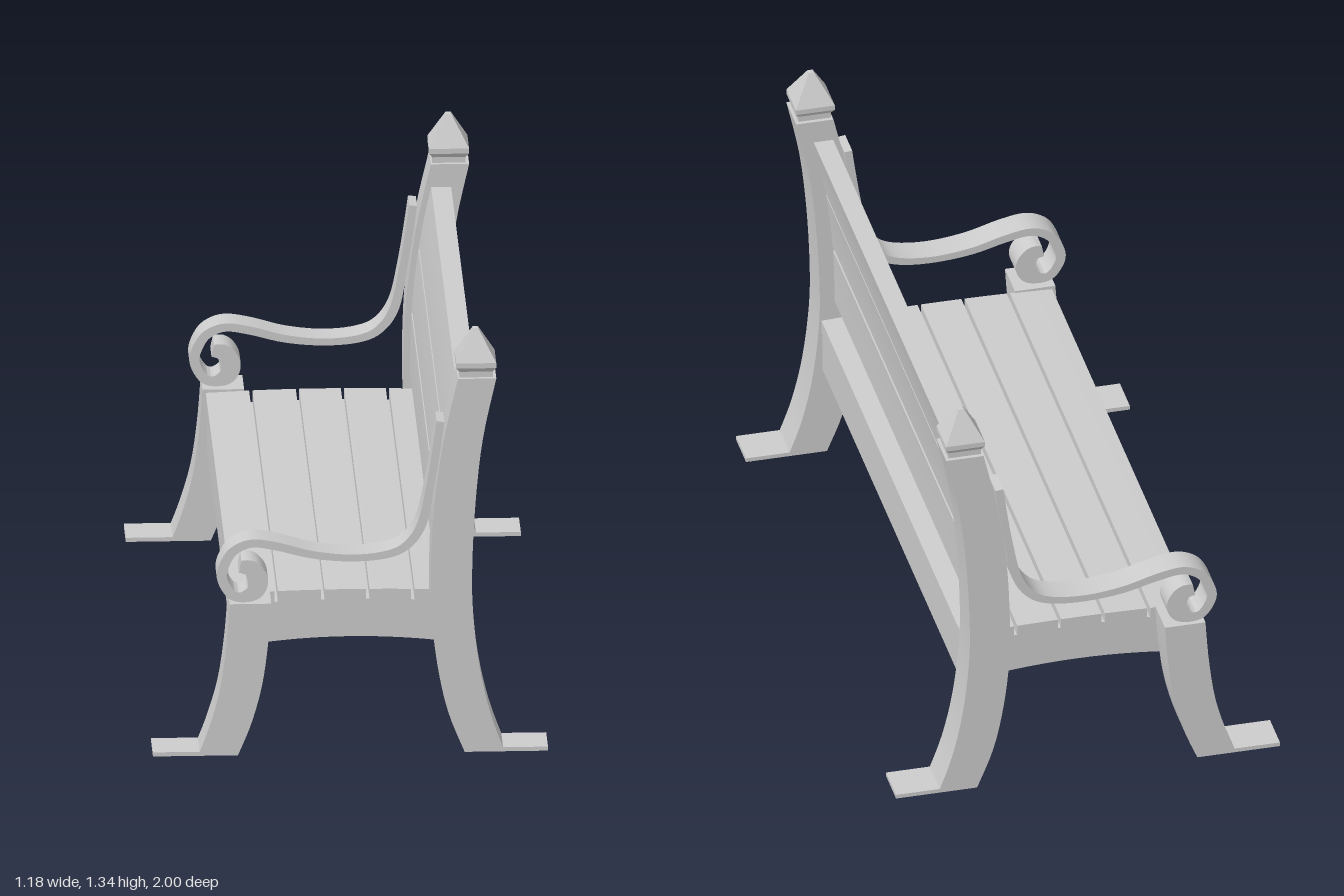
import * as THREE from 'three';
import { toCreasedNormals } from 'three/addons/utils/BufferGeometryUtils.js';

const material = new THREE.MeshStandardMaterial({ color: 0xcccccc });

function addMesh(parent, name, geometry, mat = material) {
  const mesh = new THREE.Mesh(geometry, mat);
  mesh.name = name;
  parent.add(mesh);
  return mesh;
}

const smooth = (pts, n) =>
  new THREE.SplineCurve(pts.map(([x, y]) => new THREE.Vector2(x, y))).getPoints(n);

// Extrude a closed side outline from z0 to z1
function extrude(points, z0, z1) {
  const g = new THREE.ExtrudeGeometry(new THREE.Shape(points), { depth: z1 - z0, bevelEnabled: false });
  g.translate(0, 0, z0);
  return toCreasedNormals(g, 0.6);
}

// Outline between two edges running the same way
const between = (a, b) => [...a, ...b.slice().reverse()];

// Curved strip given by centre points [x, y, halfWidth]
function ribbon(rows, n) {
  const centre = new THREE.SplineCurve(rows.map(([x, y]) => new THREE.Vector2(x, y)));
  const widths = new THREE.SplineCurve(rows.map((r, i) => new THREE.Vector2(i, r[2])));
  const a = [], b = [];
  for (let i = 0; i <= n; i++) {
    const t = i / n, p = centre.getPoint(t), d = centre.getTangent(t), w = widths.getPoint(t).y;
    a.push(new THREE.Vector2(p.x - d.y * w, p.y + d.x * w));
    b.push(new THREE.Vector2(p.x + d.y * w, p.y - d.x * w));
  }
  return between(a, b);
}

// Edges of the rear post and front leg, bottom to top
const postFront = smooth([[0.34, 0], [0.29, 0.13], [0.258, 0.28], [0.24, 0.45], [0.24, 0.63], [0.25, 0.8], [0.278, 1.0], [0.32, 1.19]], 28);
const postBack = smooth([[0.46, 0], [0.418, 0.12], [0.385, 0.27], [0.365, 0.45], [0.363, 0.6], [0.373, 0.8], [0.395, 1.0], [0.435, 1.19]], 28);
const legFront = smooth([[-0.46, 0], [-0.43, 0.08], [-0.396, 0.2], [-0.376, 0.34], [-0.365, 0.482]], 14);
const legBack = smooth([[-0.34, 0], [-0.3, 0.1], [-0.268, 0.22], [-0.25, 0.35], [-0.24, 0.482]], 14);

// Arm rest: from the tip of the scroll, over the arm, up the post
const armRows = [
  [-0.333, 0.596, 0.019], [-0.3, 0.589, 0.026], [-0.279, 0.552, 0.03], [-0.291, 0.515, 0.026],
  [-0.33, 0.499, 0.016], [-0.363, 0.512, 0.015], [-0.388, 0.562, 0.015], [-0.377, 0.61, 0.015],
  [-0.349, 0.649, 0.014], [-0.295, 0.67, 0.013], [-0.217, 0.658, 0.013], [-0.115, 0.631, 0.012],
  [0, 0.619, 0.011], [0.104, 0.628, 0.012], [0.168, 0.658, 0.013], [0.213, 0.727, 0.014],
  [0.238, 0.85, 0.012], [0.256, 0.963, 0.012], [0.268, 1.05, 0.012],
];

// Front edge of the post at height y
function postX(y) {
  const i = postFront.findIndex((p) => p.y >= y);
  const a = postFront[i - 1], b = postFront[i];
  return a.x + ((b.x - a.x) * (y - a.y)) / (b.y - a.y);
}

function createFinial() {
  const profile = [[0, 1.185], [0.05, 1.185], [0.05, 1.208], [0.06, 1.222], [0.06, 1.238], [0.008, 1.332], [0, 1.335]];
  const g = new THREE.LatheGeometry(
    profile.map(([half, y]) => new THREE.Vector2(half * Math.SQRT2, y)), 4, Math.PI / 4);
  const mat = material.clone();
  mat.flatShading = true;
  return [g, mat];
}

// One end frame; side is +1 or -1 along z
function createEnd(side) {
  const end = new THREE.Group();
  end.name = side > 0 ? 'leftEnd' : 'rightEnd';
  const across = (pts, a, b) => extrude(pts, Math.min(a * side, b * side), Math.max(a * side, b * side));

  addMesh(end, 'rearPost', across(between(postFront, postBack), 0.875, 1));
  addMesh(end, 'frontLeg', across(between(legFront, legBack), 0.875, 1));
  addMesh(end, 'armRest', across(ribbon(armRows, 90), 0.9, 0.987));

  // Flat feet
  for (const [name, x0, x1] of [['frontFoot', -0.595, -0.36], ['rearFoot', 0.36, 0.59]]) {
    const foot = addMesh(end, name, new THREE.BoxGeometry(x1 - x0, 0.013, 0.125));
    foot.position.set((x0 + x1) / 2, 0.0065, side * 0.9375);
  }

  const finial = addMesh(end, 'finial', ...createFinial());
  finial.position.set(0.375, 0, side * 0.9375);
  return end;
}

export function createModel() {
  const bench = new THREE.Group();
  bench.name = 'bench';
  bench.add(createEnd(1), createEnd(-1));

  // Seat base with arched top and underside
  const arch = (x, mid, drop) => mid - drop * (x / 0.3) ** 2;
  const edge = (x0, x1, mid, drop, n) => Array.from({ length: n + 1 }, (_, i) => {
    const x = x0 + ((x1 - x0) * i) / n;
    return new THREE.Vector2(x, arch(x, mid, drop));
  });
  addMesh(bench, 'seatBase', extrude(
    between(edge(-0.352, 0.355, 0.328, 0.021, 14), edge(-0.352, 0.355, 0.447, 0.011, 14)), -0.872, 0.872));

  // Seat slats
  const cuts = [-0.355, -0.22, -0.08, 0.055, 0.19, 0.357];
  for (let i = 0; i < cuts.length - 1; i++) {
    const x0 = cuts[i] + (i ? 0.005 : 0), x1 = cuts[i + 1] - (i < cuts.length - 2 ? 0.005 : 0);
    addMesh(bench, 'seatSlat', extrude(
      between(edge(x0, x1, 0.445, 0.011, 3), edge(x0, x1, 0.48, 0.006, 3)), -0.877, 0.877));
  }

  // Back slats following the lean of the posts
  for (const [y0, y1] of [[0.535, 0.718], [0.735, 0.92], [0.93, 1.117]]) {
    const front = [], back = [];
    for (let i = 0; i <= 4; i++) {
      const y = y0 + ((y1 - y0) * i) / 4, x = postX(y) + 0.018;
      front.push(new THREE.Vector2(x, y));
      back.push(new THREE.Vector2(x + 0.06, y));
    }
    addMesh(bench, 'backSlat', extrude(between(front, back), -0.877, 0.877));
  }
  return bench;
}
